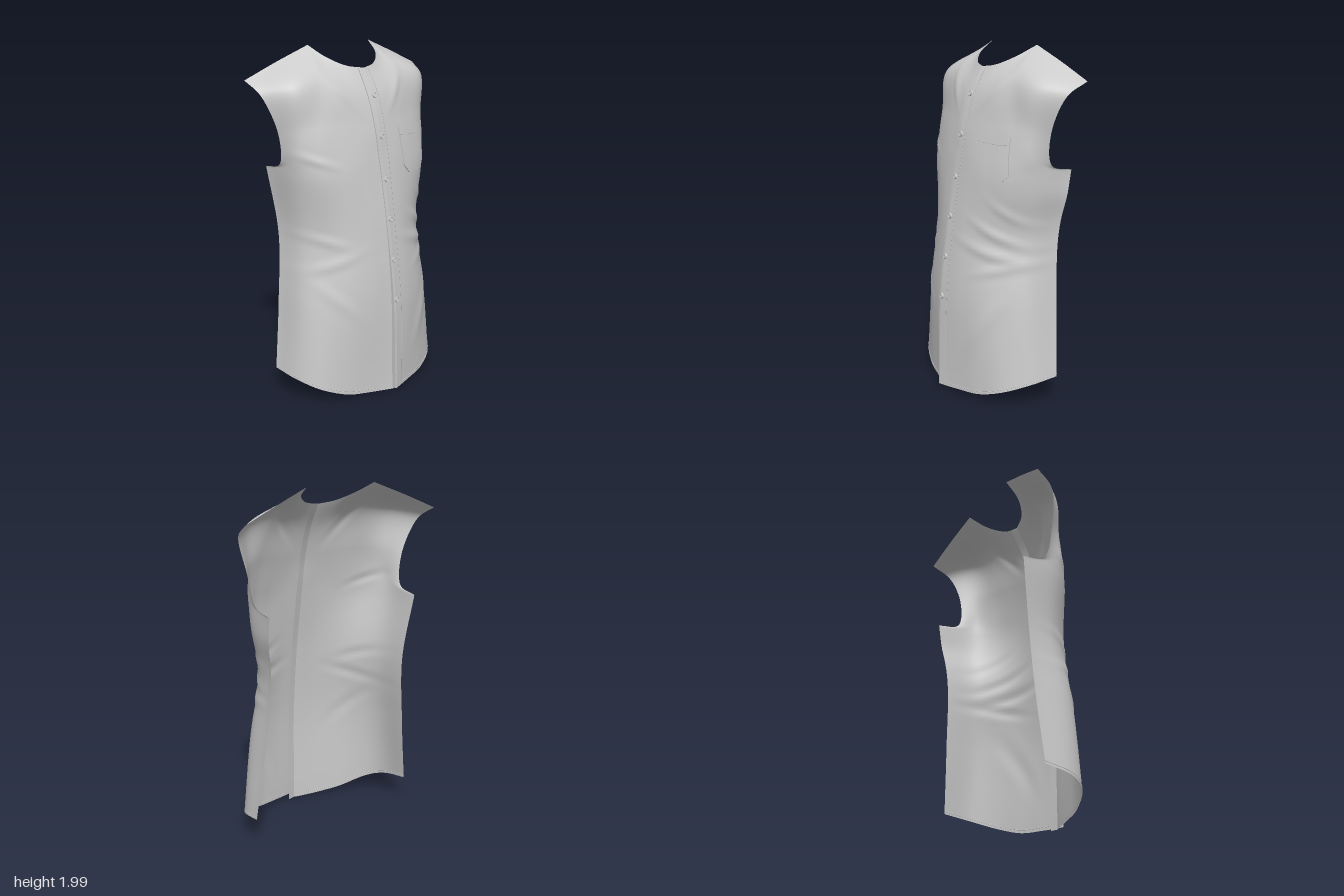
import * as THREE from 'three';
import { toCreasedNormals } from 'three/addons/utils/BufferGeometryUtils.js';

const V = (x, y, z) => new THREE.Vector3(x, y, z);
const { lerp, smoothstep } = THREE.MathUtils;

// Half-panel cross-sections, hem to shoulder; each runs from the centre front to the outer edge.
const ROWS = [
  [[0, .018, .286], [.14, .025, .243], [.29, .038, .192], [.425, .082, .117], [.515, .13, -.015], [.535, .155, -.175]],
  [[0, .55, .271], [.14, .55, .242], [.275, .55, .19], [.385, .55, .105], [.468, .55, -.01], [.488, .55, -.2]],
  [[0, .95, .224], [.13, .95, .2], [.26, .95, .146], [.354, .95, .066], [.43, .95, -.048], [.46, .95, -.222]],
  [[0, 1.27, .174], [.13, 1.28, .16], [.26, 1.29, .13], [.382, 1.3, .072], [.47, 1.31, -.035], [.495, 1.335, -.275]],
  [[0, 1.4, .152], [.13, 1.41, .14], [.255, 1.42, .11], [.38, 1.42, .062], [.47, 1.41, -.015], [.5, 1.372, -.14]],
  [[0, 1.55, .126], [.12, 1.56, .108], [.24, 1.58, .078], [.36, 1.58, .04], [.46, 1.57, -.015], [.53, 1.55, -.11]],
  [[0, 1.72, .073], [.115, 1.74, .055], [.21, 1.78, .025], [.3, 1.82, -.018], [.465, 1.8, -.045], [.605, 1.755, -.155]],
  [[0, 1.87, -.005], [.1, 1.887, -.037], [.185, 1.935, -.115], [.225, 1.995, -.225], [.43, 1.915, -.247], [.632, 1.83, -.265]],
];
const curve = pts => new THREE.CatmullRomCurve3(pts);

// Curve through points with a sharp corner at point k
function bent(pts, k) {
  const first = curve(pts.slice(0, k + 1)), second = curve(pts.slice(k)), m = k / (pts.length - 1);
  return { getPoint: t => t < m ? first.getPoint(t / m) : second.getPoint((t - m) / (1 - m)) };
}
// The outer edge turns sharply at the armpit.
const COLUMNS = ROWS[0].map((_, c) => {
  const pts = ROWS.map(r => V(...r[c]));
  return c === 5 ? bent(pts, 3) : curve(pts);
});

// Soft cloth folds: side, x, y, slope angle, half length, half width, height
const FOLDS = [
  [1, .33, .96, -.5, .14, .022, .01], [1, .3, .86, -.3, .16, .025, .01], [1, .36, .78, .3, .12, .025, .008],
  [1, .38, 1.08, -.7, .1, .02, .008], [1, .3, .45, 1.1, .18, .04, .006],
  [-1, .34, .8, -.35, .14, .025, .006], [-1, .36, .94, .35, .1, .022, .007], [-1, .4, 1.4, .4, .1, .022, .006],
  [-1, .33, .6, .8, .15, .03, .005], [-1, .2, 1.75, .9, .12, .025, .005], [1, .2, 1.75, .9, .12, .025, .005],
];

// Point on the cloth; s is the side, u goes centre to edge, v goes hem to shoulder.
function cloth(s, u, v) {
  const p = COLUMNS.map(c => c.getPoint(v));
  // the neck corner sharpens towards the top
  const pt = curve(p).getPoint(u).lerp(bent(p, 3).getPoint(u), smoothstep(v, .82, 1));
  let d = 0;
  for (const [side, x, y, a, len, wid, h] of FOLDS) {
    if (side !== s) continue;
    const dx = pt.x - x, dy = pt.y - y;
    const along = (dx * Math.cos(a) + dy * Math.sin(a)) / len;
    const across = (dy * Math.cos(a) - dx * Math.sin(a)) / wid;
    d += h * Math.exp(-along * along) * (1 - .5 * across * across) * Math.exp(-across * across / 2);
  }
  pt.addScaledVector(V(pt.x, 0, pt.z + .25).normalize(), d * (1 - u ** 4));
  if (s > 0) {
    // the left side is a little fuller under the arm
    pt.x += .013 * u * u * Math.exp(-(((pt.y - 1.19) / .1) ** 2));
  } else {
    // the right panel tucks under the left, flares at its hem and hangs lower
    const low = 1 - smoothstep(v, 0, .35);
    pt.z += low * .022 * Math.exp(-(((u - .72) / .15) ** 2)) - (.007 + .025 * low) * Math.exp(-((u / .4) ** 2));
    pt.y -= .016 * Math.exp(-((u / .5) ** 2)) * (1 - smoothstep(v, 0, .08));
  }
  pt.x *= s;
  return pt;
}

// Finds the cloth at a front position on the left side, raised along its normal.
function onCloth(x, y, lift) {
  let u = x / .5, v = y / 2;
  const e = .002;
  let p, a, b;
  for (let i = 0; i < 8; i++) {
    p = cloth(1, u, v);
    a = cloth(1, u + e, v).sub(p).divideScalar(e);
    b = cloth(1, u, v + e).sub(p).divideScalar(e);
    const det = a.x * b.y - b.x * a.y, rx = x - p.x, ry = y - p.y;
    u = Math.min(.98, Math.max(.01, u + (rx * b.y - b.x * ry) / det));
    v = Math.min(.98, Math.max(.01, v + (a.x * ry - rx * a.y) / det));
  }
  return p.addScaledVector(a.cross(b).normalize(), lift);
}

// Grid surface from f(a, b), with a to the right and b up when seen from outside.
function grid(f, na, nb) {
  const pos = [], idx = [];
  for (let j = 0; j <= nb; j++) for (let i = 0; i <= na; i++) pos.push(...f(i / na, j / nb).toArray());
  for (let j = 0; j < nb; j++) for (let i = 0; i < na; i++) {
    const k = j * (na + 1) + i, m = k + na + 1;
    idx.push(k, k + 1, m + 1, k, m + 1, m);
  }
  const g = new THREE.BufferGeometry();
  g.setAttribute('position', new THREE.Float32BufferAttribute(pos, 3));
  g.setIndex(idx);
  g.computeVertexNormals();
  return g;
}

export function createModel() {
  const model = new THREE.Group();
  model.name = 'sleevelessShirtFront';
  const mat = new THREE.MeshStandardMaterial({ color: 0xcccccc, side: THREE.DoubleSide, roughness: .9 });
  const add = (name, geo) => {
    const m = new THREE.Mesh(geo, mat);
    m.name = name;
    model.add(m);
  };
  const seam = (name, pts) => add(name, new THREE.TubeGeometry(curve(pts), pts.length * 2, .0018, 5));
  const sample = (n, f) => Array.from({ length: n + 1 }, (_, i) => f(i / n));

  // Two front panels, with a stitched hem
  for (const s of [1, -1]) {
    const side = s > 0 ? 'left' : 'right';
    add(side + 'Panel', grid((a, b) => cloth(s, s > 0 ? a : 1 - a, b), 60, 140));
    seam(side + 'HemStitch', sample(40, t => cloth(s, lerp(.1, 1, t), .005)));
  }

  // Placket: the left panel carries on past the centre and folds back at its edge
  const center = v => cloth(1, 0, v);
  add('placket', toCreasedNormals(grid((a, b) => {
    const c = center(b);
    const depth = lerp(.026, .006, smoothstep(b, 0, .35));
    return V(a === 1 ? 0 : lerp(-.012, -.04, b), c.y, a === 0 ? c.z - depth : c.z);
  }, 2, 100), .6));
  seam('placketStitch', sample(80, t => cloth(1, .07, lerp(.005, .99, t)).add(V(0, 0, .002))));

  // Facing: the right panel carries on behind the placket
  add('underFacing', grid((a, b) => {
    const c = cloth(-1, 0, b);
    return V(.046 * a, c.y, c.z - .014 * a);
  }, 3, 100));

  // Buttons, tilted with the cloth
  for (const y of [1.725, 1.5, 1.26, 1.035, .8, .565]) {
    let v = y / 2;
    for (let i = 0; i < 12; i++) v += (y - center(v).y) / 2;
    const c = center(v), up = center(v + .01).sub(c).normalize();
    const button = new THREE.Group();
    button.name = 'button';
    const disc = new THREE.Mesh(new THREE.CylinderGeometry(.014, .016, .008, 20).rotateX(Math.PI / 2), mat);
    const rim = new THREE.Mesh(new THREE.TorusGeometry(.013, .003, 6, 20).translate(0, 0, .004), mat);
    disc.name = 'buttonDisc';
    rim.name = 'buttonRim';
    button.add(disc, rim);
    button.position.set(.008, c.y, c.z + .002);
    button.rotation.x = Math.atan2(up.z, up.y);
    model.add(button);
  }

  // Chest pocket with clipped lower corners; its border meets the cloth
  const pocketPoint = (a, b, lift) => {
    const bottom = 1.263 + .05 * Math.max(0, 1 - Math.min(a, 1 - a) / .2);
    const y = lerp(bottom, 1.53 - .01 * a, b);
    return onCloth(lerp(.155, .378, a) + .012 * (1 - b), y, lift);
  };
  const snap = t => Math.min(1, Math.max(0, (t * 24 - 1) / 22));
  add('pocket', toCreasedNormals(grid((a, b) => {
    const border = a === 0 || a === 1 || b === 0 || b === 1;
    return pocketPoint(snap(a), snap(b), border ? .0005 : .007);
  }, 24, 24), .7));
  seam('pocketTopStitch', sample(20, t => pocketPoint(lerp(.03, .97, t), .82, .007)));

  return model;
}
